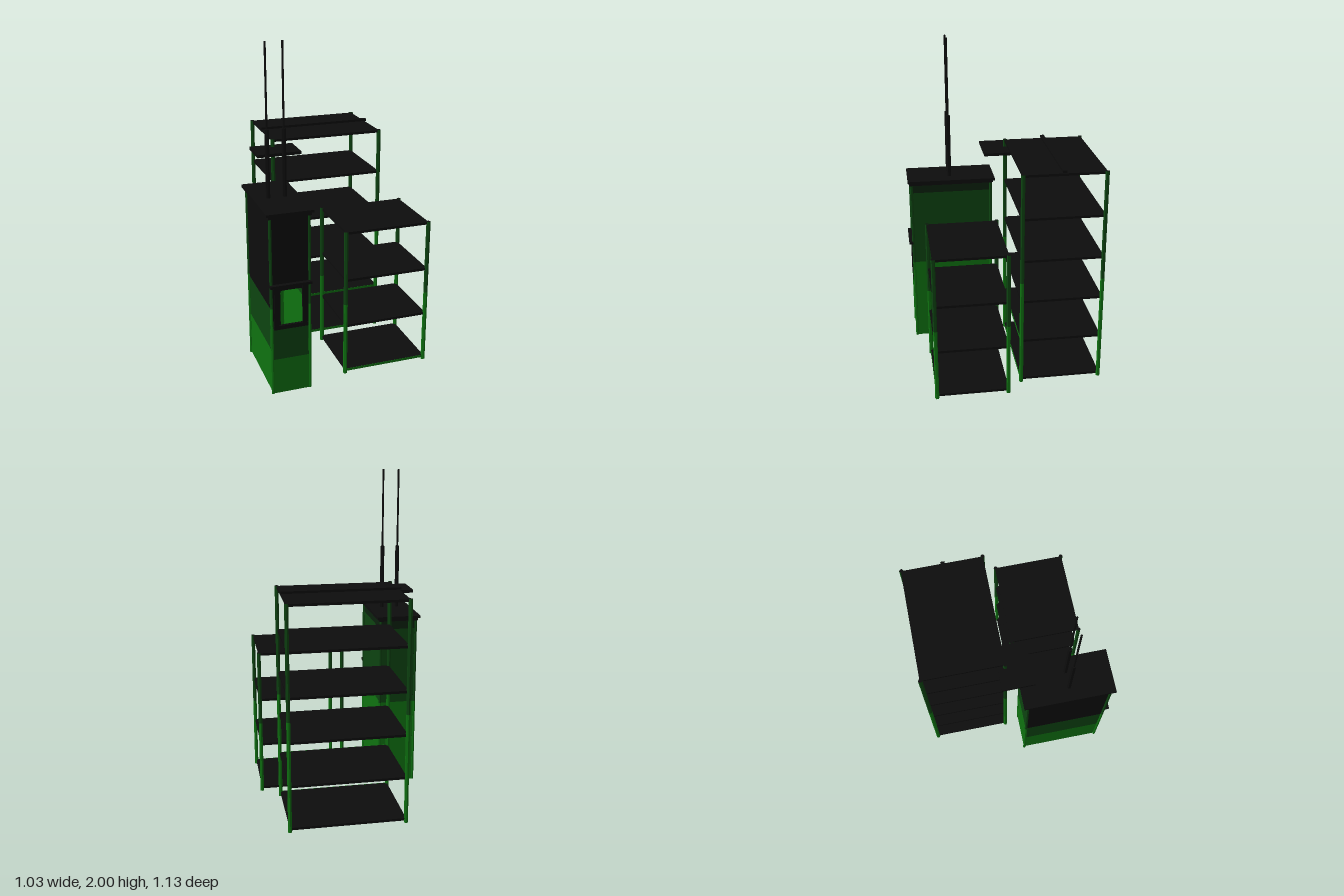
import * as THREE from 'three';

const mat = (name, color) => {
  const m = new THREE.MeshStandardMaterial({ color });
  m.name = name;
  return m;
};

export function createModel() {
  const model = new THREE.Group();
  const black = mat('black', 0x0d0d0d);
  const bright = mat('bright green', 0x0f7311);
  const dark = mat('dark green', 0x0d4411);
  const deep = mat('deep green', 0x0b210d);

  const add = (parent, name, geometry, material) => {
    const mesh = new THREE.Mesh(geometry, material);
    mesh.name = name;
    parent.add(mesh);
    return mesh;
  };
  // Box given by its minimum and maximum on each axis
  const box = (parent, name, material, [x0, x1], [y0, y1], [z0, z1]) => {
    const b = add(parent, name, new THREE.BoxGeometry(x1 - x0, y1 - y0, z1 - z0), material);
    b.position.set((x0 + x1) / 2, (y0 + y1) / 2, (z0 + z1) / 2);
    return b;
  };
  // Six-sided upright rod with black ends
  const rod = (parent, name, material, r, x, z, y0, y1) => {
    const geometry = new THREE.CylinderGeometry(r, r, y1 - y0, 6).toNonIndexed();
    geometry.computeVertexNormals();
    add(parent, name, geometry, [material, black, black]).position.set(x, (y0 + y1) / 2, z);
  };

  // Shelving racks: two-tone posts and evenly spaced boards
  const rack = (name, [x0, x1], [z0, z1], height, levels, greenEdges) => {
    const group = new THREE.Group();
    group.name = name;
    for (const x of [x0, x1]) {
      for (const z of [z0, z1]) {
        rod(group, 'lowerPost', bright, 0.0125, x, z, 0, height / 2);
        rod(group, 'upperPost', dark, 0.0125, x, z, height / 2, height);
      }
    }
    for (let i = 0; i < levels; i++) {
      const y = 0.02 + i * (height - 0.03) / (levels - 1);
      const span = [y - 0.0075, y + 0.0075];
      box(group, 'shelfBoard', black, [x0, x1], span, [z0 - 0.003, z1 + 0.003]);
      if (i < greenEdges) box(group, 'shelfEdge', bright, [x0, x1], span, [z1 + 0.003, z1 + 0.005]);
    }
    model.add(group);
    return group;
  };
  const tall = rack('tallRack', [-0.298, 0.392], [-0.555, -0.068], 1.355, 6, 2);
  rack('shortRack', [-0.018, 0.5], [0.028, 0.46], 0.918, 4, 1);
  box(tall, 'topBar', black, [-0.305, 0.397], [1.357, 1.371], [-0.32, -0.295]);

  // Hollow cabinet, open underneath
  const cabinet = new THREE.Group();
  cabinet.name = 'cabinet';
  model.add(cabinet);
  const X = [-0.49, -0.268], Z = [0.028, 0.541], t = 0.006;
  const bands = (name, xs, zs, list) => {
    let y = 0;
    for (const [top, material] of list) {
      box(cabinet, name, material, xs, [y, top], zs);
      y = top;
    }
  };
  const greenWall = [[0.545, bright], [1.03, dark], [1.085, deep]];
  bands('leftWall', [X[1] - t, X[1]], Z, greenWall);
  bands('backWall', [X[0] + t, X[1] - t], [Z[0], Z[0] + t], greenWall);
  bands('rightWall', [X[0], X[0] + t], Z, [[0.27, bright], [0.53, dark], [1.085, black]]);
  bands('frontWall', [X[0] + t, X[1] - t], [Z[1] - t, Z[1]], [[0.22, bright], [0.42, dark]]);

  // Front panel with a hatch opening, rounded at its upper corners
  const panel = new THREE.Shape();
  panel.moveTo(X[0] + t, 0.42).lineTo(X[1] - t, 0.42).lineTo(X[1] - t, 1.085).lineTo(X[0] + t, 1.085).closePath();
  const hatch = new THREE.Path();
  hatch.moveTo(-0.44, 0.437).lineTo(-0.44, 0.635).quadraticCurveTo(-0.44, 0.65, -0.425, 0.65)
    .lineTo(-0.325, 0.65).quadraticCurveTo(-0.31, 0.65, -0.31, 0.635).lineTo(-0.31, 0.437).closePath();
  panel.holes.push(hatch);
  const panelGeometry = new THREE.ExtrudeGeometry(panel, { depth: t, bevelEnabled: false, curveSegments: 4 });
  add(cabinet, 'frontPanel', panelGeometry, black).position.z = Z[1] - t;

  // Hatch frame and ledge
  box(cabinet, 'hatchSill', black, [-0.48, -0.278], [0.412, 0.436], [Z[1], 0.549]);
  for (const x of [-0.465, -0.299]) {
    box(cabinet, 'hatchJamb', black, [x - 0.012, x + 0.012], [0.42, 0.68], [Z[1], 0.549]);
  }
  box(cabinet, 'hatchLedge', black, [-0.502, -0.258], [0.677, 0.692], [Z[1], 0.566]);

  // Corner posts
  for (const x of [-0.492, -0.267]) {
    for (const z of [0.031, 0.538]) {
      rod(cabinet, 'lowerCornerPost', bright, 0.009, x, z, 0, 0.545);
      rod(cabinet, 'upperCornerPost', dark, 0.009, x, z, 0.545, 1.085);
    }
  }

  // Stepped roof with two aerials
  box(cabinet, 'lowerRoof', black, [-0.504, -0.255], [1.083, 1.1], [0.016, 0.552]);
  box(cabinet, 'upperRoof', black, [-0.516, -0.243], [1.1, 1.115], [0.005, 0.56]);
  for (const x of [-0.43, -0.332]) {
    rod(cabinet, 'aerialBase', black, 0.013, x, 0.29, 1.11, 1.515);
    rod(cabinet, 'aerialTip', black, 0.006, x, 0.29, 1.515, 2);
  }

  // Loose square plate beside the tall rack
  box(model, 'cornerPlate', black, [-0.432, -0.164], [1.29, 1.308], [-0.112, 0.081]);

  return model;
}
